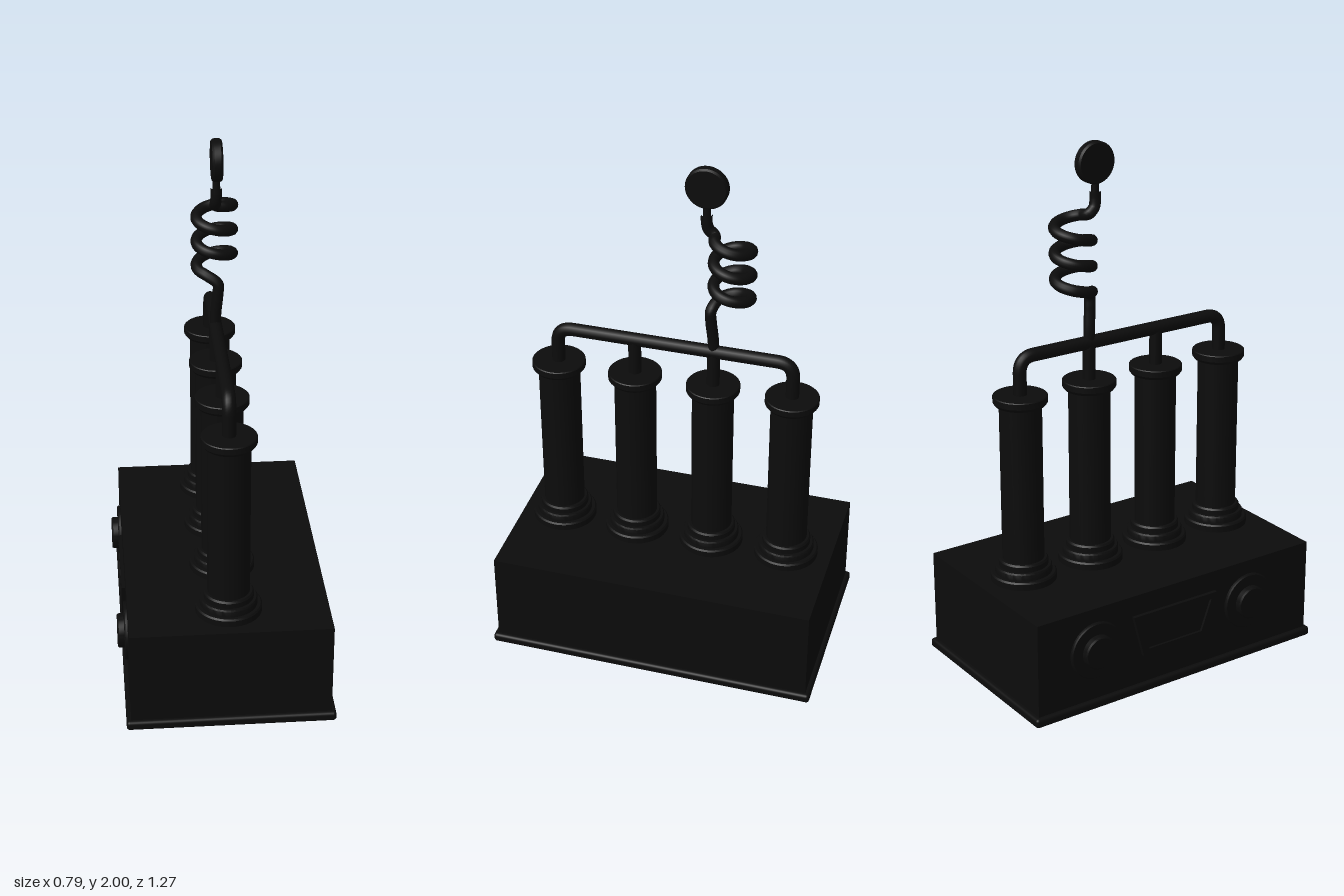
import * as THREE from 'three';
import { toCreasedNormals } from 'three/addons/utils/BufferGeometryUtils.js';
import { RoundedBoxGeometry } from 'three/addons/geometries/RoundedBoxGeometry.js';

const CX = 0.007; // axis of the columns and pipes
const V = (x, y, z) => new THREE.Vector3(x, y, z);

export function createModel() {
  const model = new THREE.Group();
  model.name = 'columnDevice';
  const black = new THREE.MeshStandardMaterial({ color: 0x0c0c0c });

  const add = (name, geometry, x = 0, y = 0, z = 0, parent = model) => {
    const mesh = new THREE.Mesh(geometry, black);
    mesh.name = name;
    mesh.position.set(x, y, z);
    parent.add(mesh);
    return mesh;
  };
  const lathe = (pts, sides = 40) =>
    toCreasedNormals(new THREE.LatheGeometry(pts.map(p => new THREE.Vector2(...p)), sides), 0.6);

  // Case with a projecting rim at the foot
  add('case', new THREE.BoxGeometry(0.74, 0.38, 1.235), CX, 0.21, 0);
  add('baseRim', new RoundedBoxGeometry(0.774, 0.036, 1.27, 3, 0.012), CX, 0.018, 0);

  // Four columns with stepped feet and overhanging caps
  const columnZ = [0.455, 0.157, -0.143, -0.441];
  const column = lathe([
    [0, 0.39], [0.123, 0.39], [0.123, 0.424], [0.118, 0.43], [0.106, 0.43], [0.106, 0.452],
    [0.102, 0.458], [0.092, 0.458], [0.092, 0.478], [0.087, 0.485], [0.078, 0.485],
    [0.078, 1.085], [0.092, 1.085], [0.1, 1.096], [0.1, 1.118], [0.097, 1.121], [0, 1.121],
  ]);
  columnZ.forEach((z, i) => add('column' + (i + 1), column, CX, 0, z));

  // Connecting pipe, bent down into the outer columns
  const [zA, , , zB] = columnZ, top = 1.26, bend = 0.06;
  const pipe = new THREE.CurvePath();
  pipe.add(new THREE.LineCurve3(V(CX, 1.11, zA), V(CX, top - bend, zA)));
  pipe.add(new THREE.QuadraticBezierCurve3(V(CX, top - bend, zA), V(CX, top, zA), V(CX, top, zA - bend)));
  pipe.add(new THREE.LineCurve3(V(CX, top, zA - bend), V(CX, top, zB + bend)));
  pipe.add(new THREE.QuadraticBezierCurve3(V(CX, top, zB + bend), V(CX, top, zB), V(CX, top - bend, zB)));
  pipe.add(new THREE.LineCurve3(V(CX, top - bend, zB), V(CX, 1.11, zB)));
  add('connectingPipe', new THREE.TubeGeometry(pipe, 140, 0.025, 16));
  for (const z of columnZ.slice(1, 3)) {
    add('innerPipe', new THREE.CylinderGeometry(0.024, 0.024, 0.15, 16), CX, 1.185, z);
  }

  // Antenna wire: a rising stem, three coil turns, then up to the disc
  const coilZ = -0.208, coilR = 0.067, turns = 3;
  const wire = [V(CX, 1.24, -0.143), V(CX, 1.31, -0.141), V(0.014, 1.39, -0.134), V(0.014, 1.435, -0.133)];
  for (let i = 1; i <= turns * 12; i++) {
    const a = (i / 12) * Math.PI * 2;
    wire.push(V(CX - coilR * Math.sin(a), 1.455 + 0.095 * (i / 12), coilZ + coilR * Math.cos(a)));
  }
  wire.push(V(0.005, 1.762, -0.118), V(CX, 1.79, -0.112), V(CX, 1.82, -0.112));
  add('coiledWire', new THREE.TubeGeometry(new THREE.CatmullRomCurve3(wire), 260, 0.021, 12));
  add('discStem', new THREE.CylinderGeometry(0.013, 0.015, 0.08, 12), CX, 1.83, -0.112);
  const disc = lathe([[0, -0.019], [0.071, -0.019], [0.077, -0.012], [0.077, 0.012], [0.071, 0.019], [0, 0.019]]);
  disc.rotateZ(Math.PI / 2);
  add('antennaDisc', disc, 0.008, 1.923, -0.113);

  // Two knobs on round plates
  const knob = lathe([
    [0.11, 0], [0.11, 0.008], [0.106, 0.012], [0.064, 0.012], [0.064, 0.032], [0.059, 0.037], [0, 0.037],
  ]);
  knob.rotateZ(Math.PI / 2);
  for (const z of [-0.37, 0.328]) add('knob', knob, -0.363, 0.235, z);

  // Tapered gauge: a raised frame around a recessed plate
  const trapezoid = (s, Type) => {
    const t = new Type();
    t.moveTo(-0.19 + s, 0.085 - s);
    t.lineTo(-0.145 + s, -0.085 + s);
    t.lineTo(0.145 - s, -0.085 + s);
    t.lineTo(0.19 - s, 0.085 - s);
    t.closePath();
    return t;
  };
  const frame = trapezoid(0, THREE.Shape);
  frame.holes.push(trapezoid(0.025, THREE.Path));
  const panel = (name, shape, depth) => {
    const g = new THREE.ExtrudeGeometry(shape, { depth, bevelEnabled: false });
    add(name, g.rotateY(-Math.PI / 2), -0.36, 0.235, -0.02);
  };
  panel('gaugeFrame', frame, 0.017);
  panel('gaugePlate', trapezoid(0.02, THREE.Shape), 0.008);

  return model;
}
